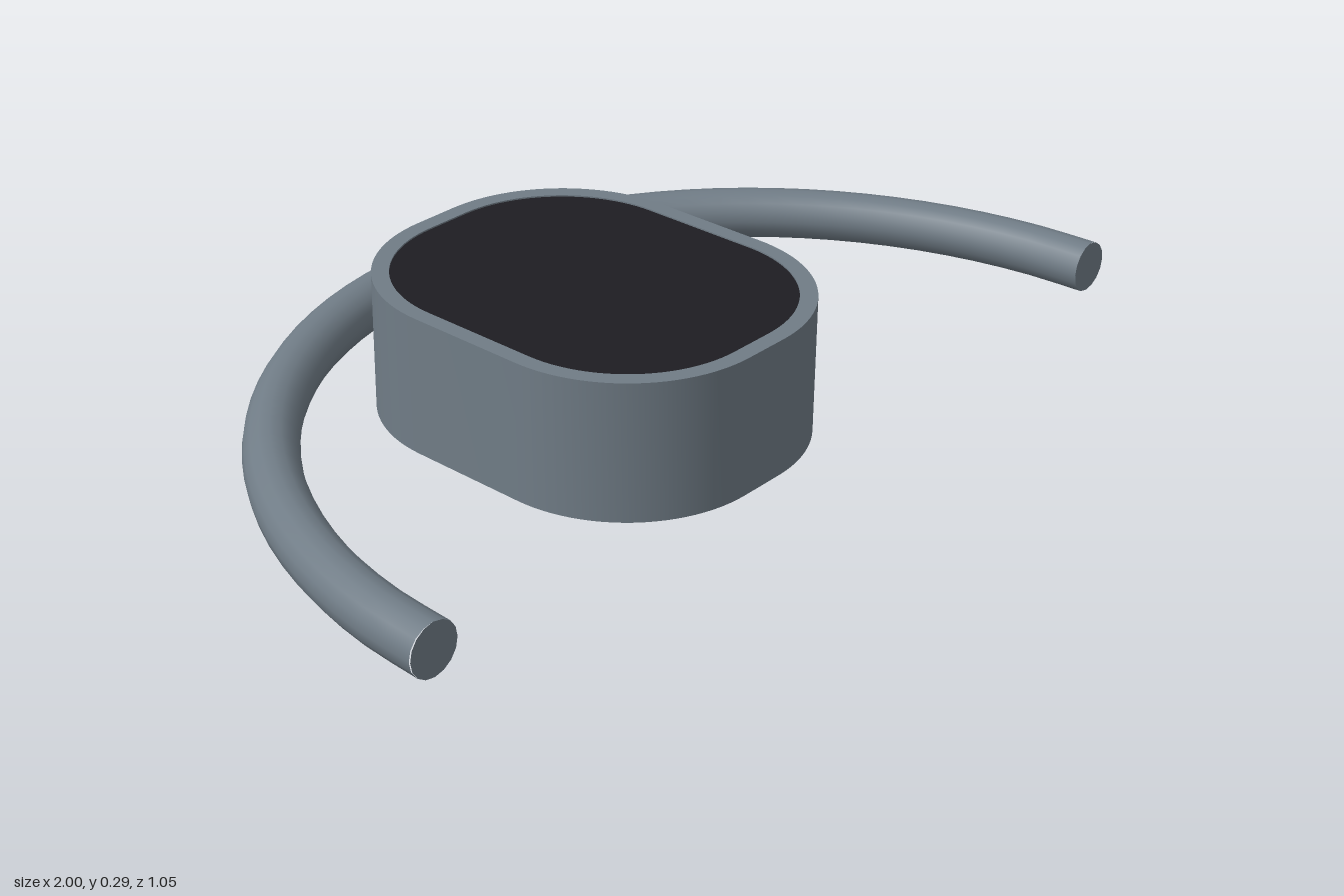
import * as THREE from 'three';
import { toCreasedNormals } from 'three/addons/utils/BufferGeometryUtils.js';

// Rounded outline of the housing, shrunk inwards by `inset`
function outline(inset, Type = THREE.Shape) {
  const w = 0.35 - inset, d = 0.43 - inset, r = 0.3 - inset;
  const s = new Type();
  s.moveTo(w, -d + r);
  s.absarc(w - r, d - r, r, 0, Math.PI / 2);
  s.absarc(-w + r, d - r, r, Math.PI / 2, Math.PI);
  s.absarc(-w + r, -d + r, r, Math.PI, Math.PI * 1.5);
  s.absarc(w - r, -d + r, r, Math.PI * 1.5, Math.PI * 2);
  s.closePath();
  return s;
}

// Upright slab or ring between two heights
function slab(name, material, inset, holeInset, y0, y1) {
  const shape = outline(inset);
  if (holeInset !== null) shape.holes.push(outline(holeInset, THREE.Path));
  const geo = new THREE.ExtrudeGeometry(shape, { depth: y1 - y0, bevelEnabled: false, curveSegments: 12 });
  geo.rotateX(-Math.PI / 2);
  geo.translate(0, y0, 0);
  const mesh = new THREE.Mesh(toCreasedNormals(geo, 0.5), material);
  mesh.name = name;
  return mesh;
}

export function createModel() {
  const group = new THREE.Group();
  const grey = new THREE.MeshStandardMaterial({ color: 0x707c86 });
  const dark = new THREE.MeshStandardMaterial({ color: 0x1e1d22 });

  // Housing: thin outer wall, thicker inner lining set back from the bottom, dark top panel
  group.add(slab('outerWall', grey, 0, 0.035, 0, 0.29));
  group.add(slab('innerLining', grey, 0.035, 0.12, 0.045, 0.24));
  group.add(slab('topPanel', dark, 0.035, null, 0.24, 0.287));

  // Bowed bar wrapping around the back, with open ends towards the front
  const R = 0.053, rx = 0.947, rz = 0.995, y = 0.147, zEnd = 0.522;
  const points = [];
  for (let i = 0; i <= 24; i++) {
    const a = (i / 24) * Math.PI;
    points.push(new THREE.Vector3(rx * Math.cos(a), y, zEnd - rz * Math.sin(a)));
  }
  const path = new THREE.CatmullRomCurve3(points);
  const bar = new THREE.Mesh(new THREE.TubeGeometry(path, 48, R, 16), grey);
  bar.name = 'curvedBar';
  group.add(bar);

  // Flat ends of the bar
  for (const side of [-1, 1]) {
    const cap = new THREE.Mesh(new THREE.CircleGeometry(R, 16), grey);
    cap.position.set(side * rx, y, zEnd);
    cap.name = side > 0 ? 'leftBarEnd' : 'rightBarEnd';
    group.add(cap);
  }
  return group;
}
